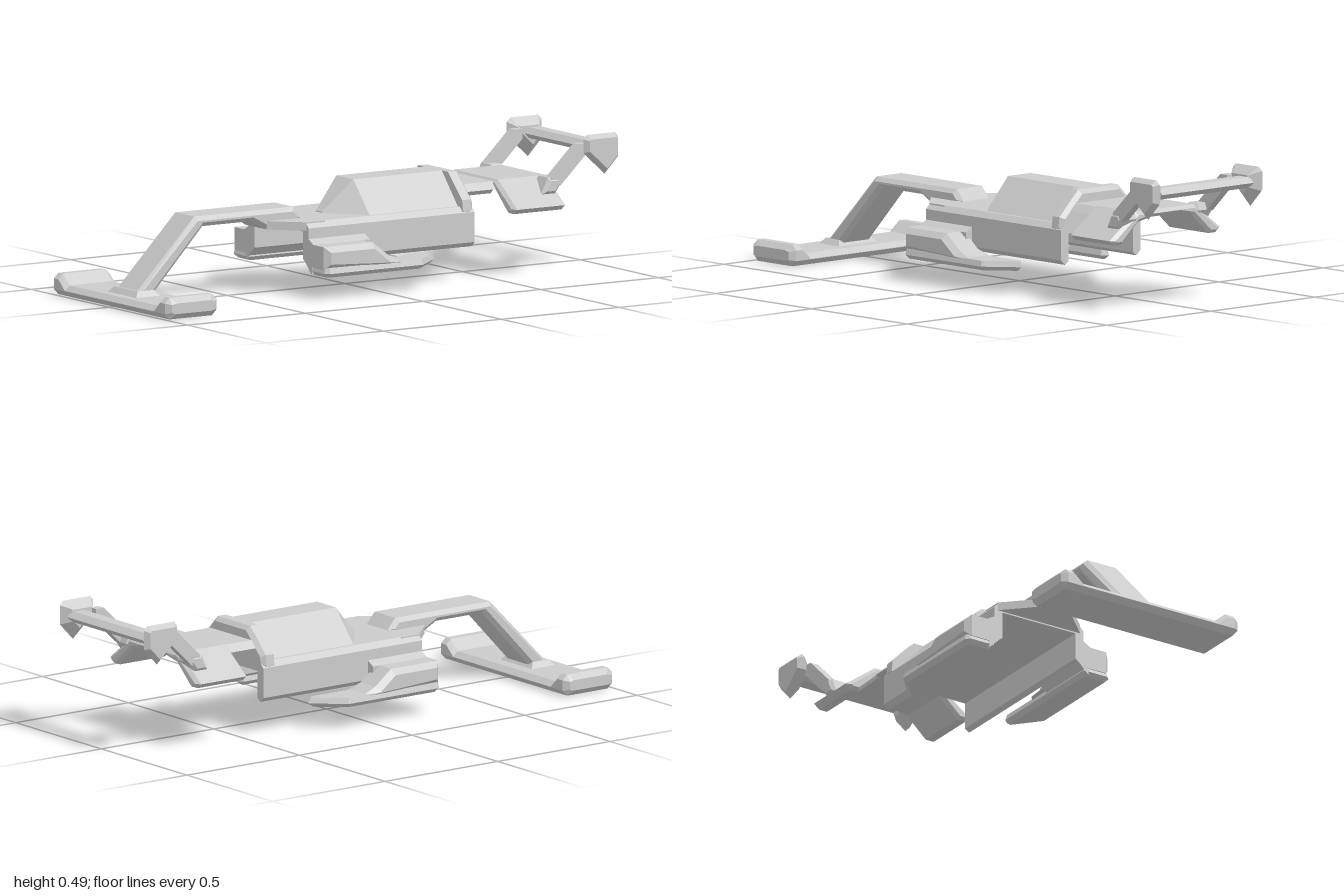
import * as THREE from 'three';

const material = new THREE.MeshStandardMaterial({ color: 0xcccccc, flatShading: true });
const { isClockWise, triangulateShape } = THREE.ShapeUtils;
const vec = (pts) => pts.map(([a, b]) => new THREE.Vector2(a, b));

// 2D ring plane for each loft axis: x -> (z, y), y -> (x, z), z -> (x, y)
const place = {
  x: (d, p) => [d, p[1], p[0]],
  y: (d, p) => [p[0], d, p[1]],
  z: (d, p) => [p[0], p[1], d],
};

// Joins equal-sized rings [distance, points], in rising order, into a closed faceted solid
function loft(axis, rings) {
  if (isClockWise(vec(rings[0][1]))) rings = rings.map(([d, p]) => [d, [...p].reverse()]);
  const pos = [];
  const tri = (a, b, c) => pos.push(...(axis === 'z' ? [a, b, c] : [a, c, b]).flat());
  const loops = rings.map(([d, pts]) => pts.map((p) => place[axis](d, p)));
  const n = loops[0].length;
  for (let r = 0; r + 1 < loops.length; r++) {
    for (let i = 0; i < n; i++) {
      const j = (i + 1) % n;
      tri(loops[r][i], loops[r][j], loops[r + 1][j]);
      tri(loops[r][i], loops[r + 1][j], loops[r + 1][i]);
    }
  }
  const last = loops.length - 1;
  for (const [a, b, c] of triangulateShape(vec(rings[0][1]), [])) tri(loops[0][a], loops[0][c], loops[0][b]);
  for (const [a, b, c] of triangulateShape(vec(rings[last][1]), [])) tri(loops[last][a], loops[last][b], loops[last][c]);
  const g = new THREE.BufferGeometry();
  g.setAttribute('position', new THREE.Float32BufferAttribute(pos, 3));
  g.computeVertexNormals();
  return g;
}

// Moves every edge of a polygon inwards by s
function inset(pts, s) {
  const sign = isClockWise(vec(pts)) ? -1 : 1;
  const n = pts.length;
  const normal = (p, q) => {
    const l = Math.hypot(q[0] - p[0], q[1] - p[1]);
    return [(-sign * (q[1] - p[1])) / l, (sign * (q[0] - p[0])) / l];
  };
  return pts.map((p, i) => {
    const a = normal(pts[(i + n - 1) % n], p);
    const b = normal(p, pts[(i + 1) % n]);
    const k = s / Math.max(0.4, 1 + a[0] * b[0] + a[1] * b[1]);
    return [p[0] + (a[0] + b[0]) * k, p[1] + (a[1] + b[1]) * k];
  });
}

// Prism with bevelled ends
function bevelled(axis, pts, d0, d1, c) {
  const small = inset(pts, c);
  return loft(axis, [[d0, small], [d0 + c, pts], [d1 - c, pts], [d1, small]]);
}

// Completes a half outline across z = 0
const sym = (half) => [...half, ...half.map(([z, y]) => [-z, y]).reverse()];

function mirrorZ(geometry) {
  const g = geometry.clone().scale(1, 1, -1);
  const p = g.attributes.position;
  for (let i = 0; i < p.count; i += 3) {
    const b = [p.getX(i + 1), p.getY(i + 1), p.getZ(i + 1)];
    p.setXYZ(i + 1, p.getX(i + 2), p.getY(i + 2), p.getZ(i + 2));
    p.setXYZ(i + 2, ...b);
  }
  g.computeVertexNormals();
  return g;
}

export function createModel() {
  const model = new THREE.Group();
  model.name = 'craft';
  const add = (name, geometry) => {
    const mesh = new THREE.Mesh(geometry, material);
    mesh.name = name;
    model.add(mesh);
  };
  const pair = (name, geometry) => {
    add(name + 'Front', geometry);
    add(name + 'Back', mirrorZ(geometry));
  };

  // Tail plate with raised tips: [z, bottom, lower edge, upper edge, top, inset]
  const tail = [
    [0.285, 0, 0.02, 0.022, 0.04, 0],
    [0.325, 0, 0.02, 0.058, 0.077, 0],
    [0.355, 0, 0.02, 0.058, 0.077, 0],
    [0.375, 0.02, 0.024, 0.054, 0.058, 0.018],
  ];
  const tailRing = ([z, b, l, u, t, s]) => {
    const x0 = -1 + s, x1 = -0.78 - s;
    return [z, [[x0 + 0.02, b], [x1 - 0.02, b], [x1, l], [x1, u], [x1 - 0.02, t], [x0 + 0.02, t], [x0, u], [x0, l]]];
  };
  const tips = tail.map(tailRing);
  add('tailPlate', loft('z', [...tips.map(([z, p]) => [-z, p]).reverse(), ...tips]));

  // Bent arm and its foot
  add('tailArm', bevelled('z', [
    [-0.95, 0.03], [-0.87, 0.03], [-0.645, 0.268], [-0.44, 0.268], [-0.38, 0.235],
    [-0.27, 0.235], [-0.225, 0.265], [-0.26, 0.305], [-0.68, 0.305],
  ], -0.075, 0.075, 0.015));
  const foot = (x0, x1, w) => [[x0, -w], [x1, -w], [x1, w], [x0, w]];
  add('armFoot', loft('y', [[0.035, foot(-0.95, -0.84, 0.095)], [0.06, foot(-0.93, -0.86, 0.075)]]));

  // Hollow hull, open underneath, with a tapered rear deck
  const hull = sym([
    [0.17, 0.265], [0.19, 0.245], [0.19, 0.137], [0.172, 0.12], [0.155, 0.132], [0.155, 0.23],
  ]);
  add('hull', loft('x', [[-0.28, hull], [0.425, hull]]));
  const deck = [
    [-0.38, 0.075], [-0.28, 0.175], [-0.2, 0.175], [-0.2, -0.175], [-0.28, -0.175], [-0.38, -0.075],
  ];
  add('rearDeck', loft('y', [[0.235, deck], [0.265, deck]]));

  // Canopy with a pointed rear and a frame at its front end
  const canopy = sym([[0.055, 0.38], [0.16, 0.262]]);
  const point = sym([[0.02, 0.268], [0.025, 0.262]]);
  add('canopy', loft('x', [[-0.11, point], [0, canopy], [0.4, canopy]]));
  const frame = sym([[0.095, 0.38], [0.185, 0.29], [0.19, 0.25], [0.155, 0.23]]);
  add('canopyFrame', loft('x', [[0.375, frame], [0.41, frame], [0.425, inset(frame, 0.015)]]));

  // Nose neck and the bent wing plate
  const neck = sym([[0.12, 0.335], [0.145, 0.31]]);
  add('noseNeck', loft('x', [[0.41, neck], [0.57, neck]]));
  const wing = sym([
    [0.14, 0.343], [0.265, 0.25], [0.243, 0.232], [0.21, 0.232], [0.13, 0.305], [0.065, 0.318],
  ]);
  add('noseWing', bevelled('x', wing, 0.545, 0.77, 0.012));

  // Side pods: stepped block on a low blade, joined to the hull by a slanted web
  const blade = [[-0.28, 0.19], [-0.28, 0.29], [-0.265, 0.305], [0.13, 0.305], [0.24, 0.21], [0.22, 0.19]];
  pair('podBlade', loft('y', [[0.08, inset(blade, 0.015)], [0.095, blade], [0.115, inset(blade, 0.006)]]));
  pair('podBlock', bevelled('z', [
    [-0.28, 0.108], [0.06, 0.108], [0.0, 0.135], [-0.07, 0.19], [-0.28, 0.19],
  ], 0.18, 0.305, 0.02));
  const web = [[0.16, 0.13], [0.21, 0.082], [0.22, 0.19], [0.185, 0.21], [0.16, 0.21]];
  pair('podWeb', loft('x', [[-0.28, web], [-0.04, web]]));

  // Front handle: brackets, struts, end caps and bar
  pair('handleBracket', bevelled('z', [
    [0.69, 0.285], [0.75, 0.285], [0.775, 0.32], [0.765, 0.345], [0.72, 0.345],
  ], 0.14, 0.225, 0.012));
  const strut = [[0.73, 0.3], [0.77, 0.315], [0.88, 0.42], [0.88, 0.455], [0.845, 0.455], [0.73, 0.345]];
  pair('handleStrut', loft('z', [[0.188, strut], [0.222, strut]]));
  const cap = [
    [0.85, 0.425], [0.94, 0.345], [0.998, 0.405], [0.998, 0.475], [0.983, 0.49], [0.865, 0.49], [0.85, 0.475],
  ];
  pair('handleCap', loft('z', [[0.208, inset(cap, 0.034)], [0.245, cap], [0.265, inset(cap, 0.015)]]));
  const bar = [
    [0.9, 0.435], [0.92, 0.416], [0.965, 0.416], [0.985, 0.435], [0.965, 0.455], [0.92, 0.455],
  ];
  add('handleBar', loft('z', [[-0.22, bar], [0.22, bar]]));

  return model;
}
